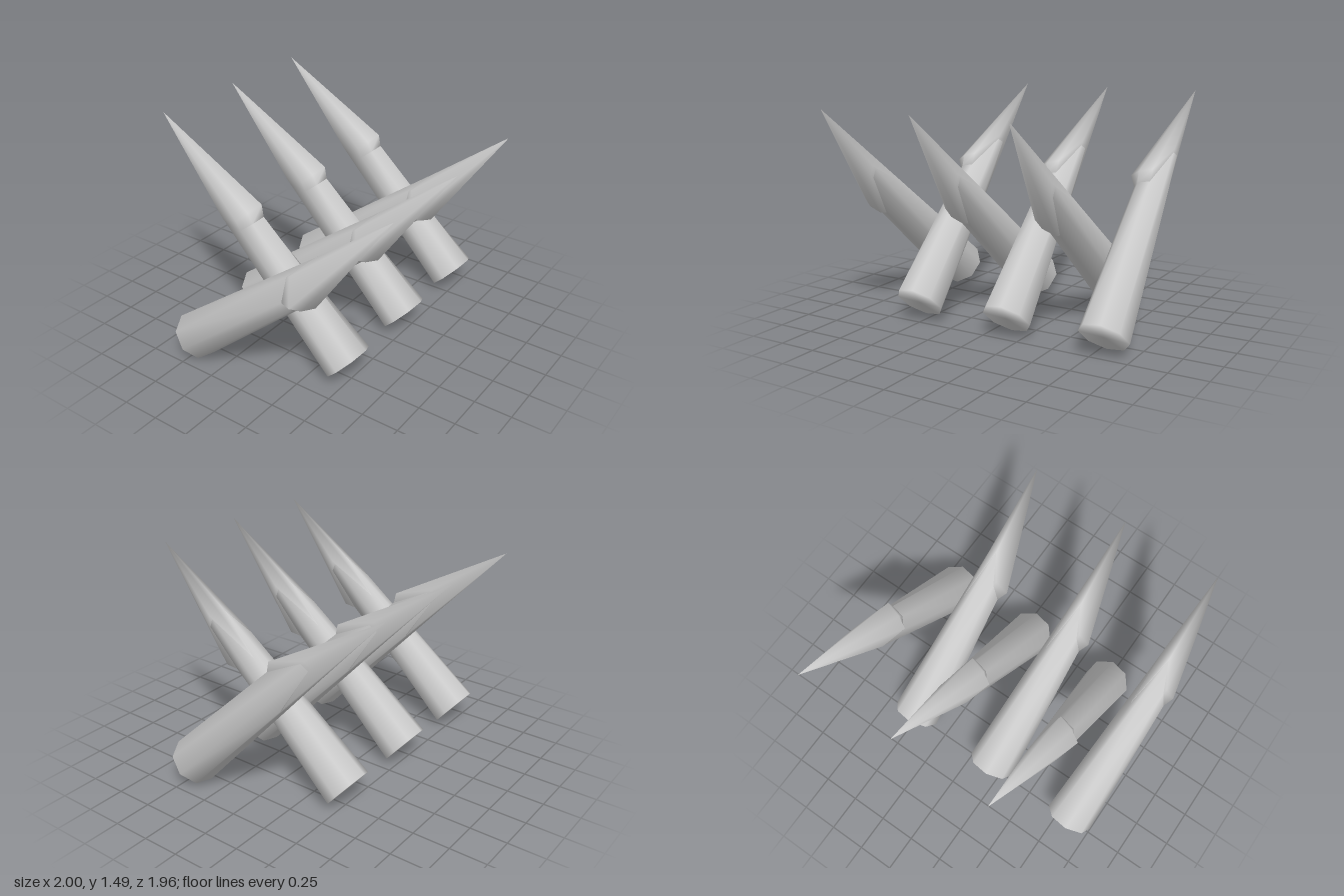
import * as THREE from 'three';

const SIDES = 8;
const TIP = [-0.005, 1.987, -0.06];

// Butt end: a slightly turned octagon
const base = Array.from({ length: SIDES }, (_, k) => {
  const a = THREE.MathUtils.degToRad(10 + 45 * k);
  return [0.163 * Math.sin(a), 0, 0.163 * Math.cos(a)];
});

// Uneven end of the shaft, where the sharpened cut begins
const neck = [
  [0.0, 1.05, 0.138], [0.045, 1.36, 0.045], [0.048, 1.38, -0.015], [0.044, 1.0, -0.096],
  [-0.018, 1.38, -0.088], [-0.1, 1.17, -0.075], [-0.138, 1.06, 0.04], [-0.09, 1.05, 0.113],
];

// Lower rim of the point, with a raised lip on the front and right-hand sides
const lip = [
  [0.01, 1.12, 0.177], [0.044, 1.39, 0.046], [0.047, 1.41, -0.015], [0.043, 1.03, -0.095],
  [-0.018, 1.41, -0.087], [-0.105, 1.2, -0.07], [-0.165, 1.118, 0.086], [-0.095, 1.12, 0.14],
];

// Skin between rings, with optional end points closing the bottom and top
function loft(rings, bottom, top) {
  const points = rings.flat();
  const index = [];
  const last = (rings.length - 1) * SIDES;
  for (let k = 0; k < SIDES; k++) {
    const n = (k + 1) % SIDES;
    for (let r = 0; r < last; r += SIDES) {
      index.push(r + k, r + n, r + SIDES + n, r + k, r + SIDES + n, r + SIDES + k);
    }
    if (bottom) index.push(points.length, n, k);
    if (top) index.push(points.length + (bottom ? 1 : 0), last + k, last + n);
  }
  if (bottom) points.push(bottom);
  if (top) points.push(top);
  const geometry = new THREE.BufferGeometry();
  geometry.setAttribute('position', new THREE.Float32BufferAttribute(points.flat(), 3));
  geometry.setIndex(index);
  geometry.computeVertexNormals();
  return geometry;
}

export function createModel() {
  const model = new THREE.Group();
  model.name = 'stakeBarrier';
  const material = new THREE.MeshStandardMaterial({ color: 0xcccccc, side: THREE.DoubleSide });
  const shaftGeometry = loft([base, neck], [0, 0, 0], null);
  const pointGeometry = loft([neck, lip], null, TIP);

  function addStake(name, x, y, z, lean) {
    const stake = new THREE.Group();
    stake.name = name;
    const shaft = new THREE.Mesh(shaftGeometry, material);
    shaft.name = 'shaft';
    const point = new THREE.Mesh(pointGeometry, material);
    point.name = 'point';
    stake.add(shaft, point);
    stake.position.set(x, y, z);
    stake.rotation.x = lean;
    model.add(stake);
  }

  // Alternating stakes leaning forward and backward, crossing in the middle
  for (let i = 0; i < 3; i++) {
    addStake('forwardStake' + (i + 1), -0.84 + 0.665 * i, 0.127, -0.509, 0.877);
    addStake('backwardStake' + (i + 1), -0.51 + 0.673 * i, 0.135, 0.48, -0.791);
  }
  return model;
}
